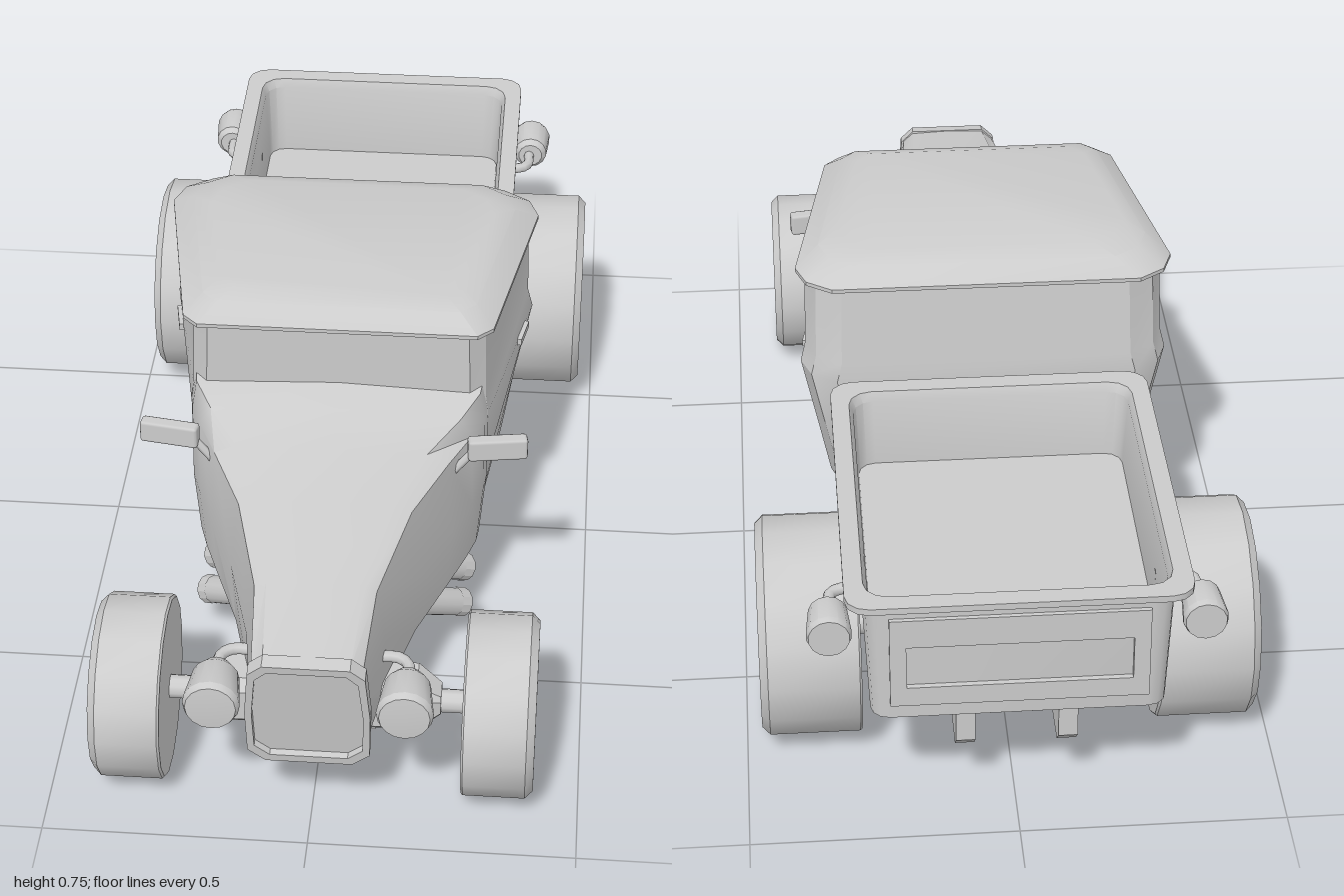
import * as THREE from 'three';
import { toCreasedNormals } from 'three/addons/utils/BufferGeometryUtils.js';
import { RoundedBoxGeometry } from 'three/addons/geometries/RoundedBoxGeometry.js';

const material = new THREE.MeshStandardMaterial({ color: 0xcccccc });
const SIDES = [1, -1];

function add(parent, name, geometry, x = 0, y = 0, z = 0) {
  const mesh = new THREE.Mesh(geometry, material);
  mesh.name = name;
  mesh.position.set(x, y, z);
  parent.add(mesh);
  return mesh;
}

// Closed skin through rings of equal point count, capped at both ends
function loft(rings, crease = 0.45) {
  const n = rings[0].length, tris = [];
  for (let i = 0; i < rings.length - 1; i++) {
    for (let j = 0; j < n; j++) {
      const k = (j + 1) % n, a = rings[i], b = rings[i + 1];
      tris.push([a[j], a[k], b[k]], [a[j], b[k], b[j]]);
    }
  }
  const last = rings[rings.length - 1];
  for (let j = 1; j < n - 1; j++) {
    tris.push([rings[0][0], rings[0][j + 1], rings[0][j]], [last[0], last[j], last[j + 1]]);
  }
  // turn the faces outward when the volume comes out negative
  let volume = 0;
  const cross = new THREE.Vector3();
  for (const [a, b, c] of tris) volume += cross.crossVectors(b, c).dot(a);
  if (volume < 0) tris.forEach((t) => t.reverse());
  const geometry = new THREE.BufferGeometry().setFromPoints(tris.flat());
  return toCreasedNormals(geometry, crease);
}

// Mirrors the +x half of a ring; map turns each [u, v] into a point
function mirrored(half, map) {
  const other = half.filter((p) => p[0] > 0).reverse().map(([u, v]) => [-u, v]);
  return [...half, ...other].map(([u, v]) => map(u, v));
}

// Cylinder between two points
function rod(parent, name, from, to, r1, r2 = r1, sides = 10) {
  const a = new THREE.Vector3(...from), b = new THREE.Vector3(...to);
  const mesh = add(parent, name, new THREE.CylinderGeometry(r2, r1, a.distanceTo(b), sides));
  mesh.position.copy(a).lerp(b, 0.5);
  mesh.quaternion.setFromUnitVectors(new THREE.Vector3(0, 1, 0), b.sub(a).normalize());
  return mesh;
}

function bentTube(points, radius) {
  const curve = new THREE.CatmullRomCurve3(points.map((p) => new THREE.Vector3(...p)));
  return new THREE.TubeGeometry(curve, 8, radius, 8);
}

const toVectors = (list) => list.map((p) => new THREE.Vector2(...p));

function lathe(profile, sides) {
  return toCreasedNormals(new THREE.LatheGeometry(toVectors(profile), sides), 0.5);
}

function extrude(points, depth, holePoints) {
  const shape = new THREE.Shape(toVectors(points));
  if (holePoints) shape.holes.push(new THREE.Path(toVectors(holePoints)));
  return new THREE.ExtrudeGeometry(shape, { depth, bevelEnabled: false });
}

// Plan of the cab at one height: front and rear half widths, front and rear z
function cabRing(y, wf, wr, zf, zr) {
  return mirrored([
    [wf - 0.03, zf], [wf, zf - 0.03], [wr, zr + 0.09], [wr - 0.02, zr + 0.035], [wr - 0.07, zr],
  ], (x, z) => new THREE.Vector3(x, y, z));
}

// Cross-section of the hood: half width, shoulder point, crown height and breadth
function hoodRing(z, w, shoulderX, shoulderY, top, breadth, tilt = 0) {
  return mirrored([
    [w * 0.78, 0.165], [w * 0.96, 0.195], [w, 0.33], [shoulderX, shoulderY],
    [w * breadth, shoulderY + 0.85 * (top - shoulderY)], [0, top],
  ], (x, y) => new THREE.Vector3(x, y, z - (top - y) * tilt));
}

// Rounded plan of the bed; heights rise slightly toward the tail
function bedRing(y, w, zf, zr, r, rise = 0.027) {
  const half = [];
  for (const [cz, start] of [[zf - r, 0], [zr + r, Math.PI / 2]]) {
    for (let i = 0; i <= 3; i++) {
      const a = start + (i / 3) * Math.PI / 2;
      half.push([w - r + Math.sin(a) * r, cz + Math.cos(a) * r]);
    }
  }
  return mirrored(half, (x, z) => new THREE.Vector3(x, y + rise * (-z - 0.22), z));
}

// Section of the front beam at one x, with chamfered long edges
function beamRing(x, low, high, back, front, c) {
  return [
    [low, back + c], [low, front - c], [low + c, front], [high - c, front],
    [high, front - c], [high, back + c], [high - c, back], [low + c, back],
  ].map(([y, z]) => new THREE.Vector3(x, y, z));
}

// Wheel with its axle along x and its face toward +x
function makeWheel(name, R, rim, depth) {
  const wheel = new THREE.Group(), h = depth / 2;
  wheel.name = name;
  const tire = lathe([
    [0, -h], [R - 0.004, -h], [R, -h + 0.004], [R, h - 0.015], [R - 0.015, h], [rim + 0.008, h],
    [rim, h - 0.008], [rim - 0.012, h - 0.05], [0, h - 0.05],
  ], 16);
  add(wheel, 'tire', tire.rotateZ(-Math.PI / 2));
  const hub = new THREE.CylinderGeometry(rim * 0.24, rim * 0.28, 0.035, 12).rotateZ(-Math.PI / 2);
  add(wheel, 'hub', hub, h - 0.035);
  for (let i = 0; i < 7; i++) {
    const spoke = extrude([[-0.012, 0.01], [0.012, 0.01], [0.02, rim - 0.004], [-0.02, rim - 0.004]], 0.025);
    spoke.rotateY(Math.PI / 2).rotateX((i / 7) * Math.PI * 2);
    add(wheel, 'spoke', spoke, h - 0.048);
  }
  return wheel;
}

export function createModel() {
  const model = new THREE.Group();
  model.name = 'pickupTruck';

  // Cab and roof
  add(model, 'cab', loft([
    cabRing(0.165, 0.24, 0.275, 0.31, -0.13),
    cabRing(0.2, 0.27, 0.312, 0.31, -0.165),
    cabRing(0.33, 0.285, 0.335, 0.31, -0.192),
    cabRing(0.49, 0.293, 0.367, 0.31, -0.202),
    cabRing(0.53, 0.288, 0.357, 0.31, -0.197),
    cabRing(0.7, 0.283, 0.353, 0.31, -0.177),
  ]));
  add(model, 'roof', loft([
    cabRing(0.69, 0.283, 0.353, 0.31, -0.177),
    cabRing(0.697, 0.3, 0.372, 0.335, -0.204),
    cabRing(0.705, 0.3, 0.372, 0.335, -0.204),
    cabRing(0.737, 0.265, 0.325, 0.302, -0.17),
    cabRing(0.75, 0.235, 0.285, 0.265, -0.13),
  ]));

  // Hood tapering to the grille
  add(model, 'hood', loft([
    hoodRing(0.275, 0.293, 0.293, 0.493, 0.572, 0.96), hoodRing(0.31, 0.289, 0.287, 0.493, 0.566, 0.96),
    hoodRing(0.37, 0.27, 0.265, 0.494, 0.541, 0.9), hoodRing(0.46, 0.236, 0.226, 0.493, 0.516, 0.78),
    hoodRing(0.6, 0.182, 0.164, 0.479, 0.491, 0.7), hoodRing(0.8, 0.13, 0.113, 0.444, 0.456, 0.7),
    hoodRing(0.985, 0.106, 0.101, 0.398, 0.42, 0.75, 0.16),
  ], 0.6));
  const surround = (w, h, c) => mirrored(
    [[w - c, -h], [w - 0.002, -h + c * 0.8], [w, 0], [w - 0.008, h - c * 0.7], [w - c, h]], (x, y) => [x, y]);
  add(model, 'grilleSurround', extrude(surround(0.115, 0.131, 0.035), 0.03, surround(0.102, 0.114, 0.03)),
    0, 0.295, 0.949).rotation.x = 0.16;

  // Cargo bed, hollow with a flared rim
  add(model, 'bed', loft([
    bedRing(0.235, 0.27, -0.24, -0.968, 0.035), bedRing(0.49, 0.282, -0.232, -0.972, 0.04),
    bedRing(0.49, 0.313, -0.222, -1.0, 0.045), bedRing(0.503, 0.313, -0.222, -1.0, 0.045),
    bedRing(0.503, 0.278, -0.262, -0.962, 0.045), bedRing(0.485, 0.27, -0.27, -0.954, 0.04),
    bedRing(0.345, 0.262, -0.277, -0.948, 0.035, 0),
  ], 0.55));
  const rect = (w, low, high) => [[-w, low], [w, low], [w, high], [-w, high]];
  add(model, 'tailgateFrame', extrude(rect(0.235, 0.29, 0.48), 0.012, rect(0.205, 0.33, 0.42)), 0, 0, -0.98);

  // Frame rails, cross members and axles
  const railSide = [[-0.815, 0.125], [0.89, 0.125], [0.92, 0.155], [0.92, 0.25], [0.13, 0.25], [-0.815, 0.2]];
  for (const s of SIDES) {
    add(model, 'frameRail', extrude(railSide, 0.036).rotateY(Math.PI / 2), s * 0.095 - 0.018);
  }
  for (const z of [-0.84, -0.61, -0.4, 0.1]) {
    add(model, 'crossMember', new THREE.BoxGeometry(0.2, 0.06, 0.045), 0, 0.2, z);
  }
  add(model, 'frontBeam', loft([
    beamRing(-0.235, 0.155, 0.197, 0.745, 0.805, 0.008), beamRing(-0.19, 0.125, 0.23, 0.72, 0.83, 0.02),
    beamRing(0.19, 0.125, 0.23, 0.72, 0.83, 0.02), beamRing(0.235, 0.155, 0.197, 0.745, 0.805, 0.008),
  ]));
  rod(model, 'frontAxle', [-0.3, 0.175, 0.78], [0.3, 0.175, 0.78], 0.023);
  rod(model, 'rearAxle', [-0.3, 0.21, -0.61], [0.3, 0.21, -0.61], 0.028);

  for (const s of SIDES) {
    // Wheels
    const front = makeWheel('frontWheel', 0.175, 0.118, 0.135);
    front.position.set(s * 0.347, 0.175, 0.78);
    const rear = makeWheel('rearWheel', 0.212, 0.13, 0.19);
    rear.position.set(s * 0.375, 0.21, -0.61);
    for (const wheel of [front, rear]) {
      if (s < 0) wheel.rotation.y = Math.PI;
      model.add(wheel);
    }

    // Headlights and tail lights on bent stems
    const lamp = lathe([[0, 0], [0.028, 0], [0.044, 0.025], [0.053, 0.1], [0.047, 0.113], [0, 0.117]], 16);
    add(model, 'headlight', lamp.rotateX(Math.PI / 2), s * 0.177, 0.3, 0.869);
    add(model, 'headlightStem', bentTube(
      [[s * 0.177, 0.3, 0.88], [s * 0.175, 0.3, 0.83], [s * 0.155, 0.3, 0.81], [s * 0.11, 0.3, 0.81]], 0.011));
    const tail = lathe([[0, 0], [0.026, 0], [0.036, 0.012], [0.042, 0.08], [0.038, 0.092], [0, 0.092]], 14);
    add(model, 'tailLight', tail.rotateX(-Math.PI / 2), s * 0.341, 0.415, -0.844);
    add(model, 'tailLightStem', bentTube(
      [[s * 0.338, 0.415, -0.85], [s * 0.335, 0.415, -0.8], [s * 0.315, 0.415, -0.785], [s * 0.265, 0.415, -0.785]], 0.011));

    // Twin exhaust pipes with hollow ends
    for (const z of [0.5, 0.385]) {
      rod(model, 'exhaustPipe', [s * 0.14, 0.185, z], [s * 0.245, 0.104, z - 0.105], 0.028, 0.028, 12);
      const tip = rod(model, 'exhaustTip', [s * 0.235, 0.112, z - 0.095], [s * 0.256, 0.096, z - 0.116], 0.03);
      tip.geometry = lathe([[0.03, -0.014], [0.03, 0.014], [0.022, 0.014], [0.022, -0.014]], 12);
    }

    // Side mirror and door handle
    const mirror = add(model, 'sideMirror', new RoundedBoxGeometry(0.115, 0.046, 0.028, 1, 0.006), s * 0.317, 0.508, 0.42);
    mirror.rotation.y = s * 0.16;
    rod(model, 'mirrorStem', [s * 0.225, 0.445, 0.43], [s * 0.275, 0.505, 0.425], 0.008, 0.008, 6);
    const handle = add(model, 'doorHandle', new THREE.BoxGeometry(0.012, 0.014, 0.07), s * 0.35, 0.487, -0.01);
    handle.rotation.y = -s * 0.18;
  }
  return model;
}
